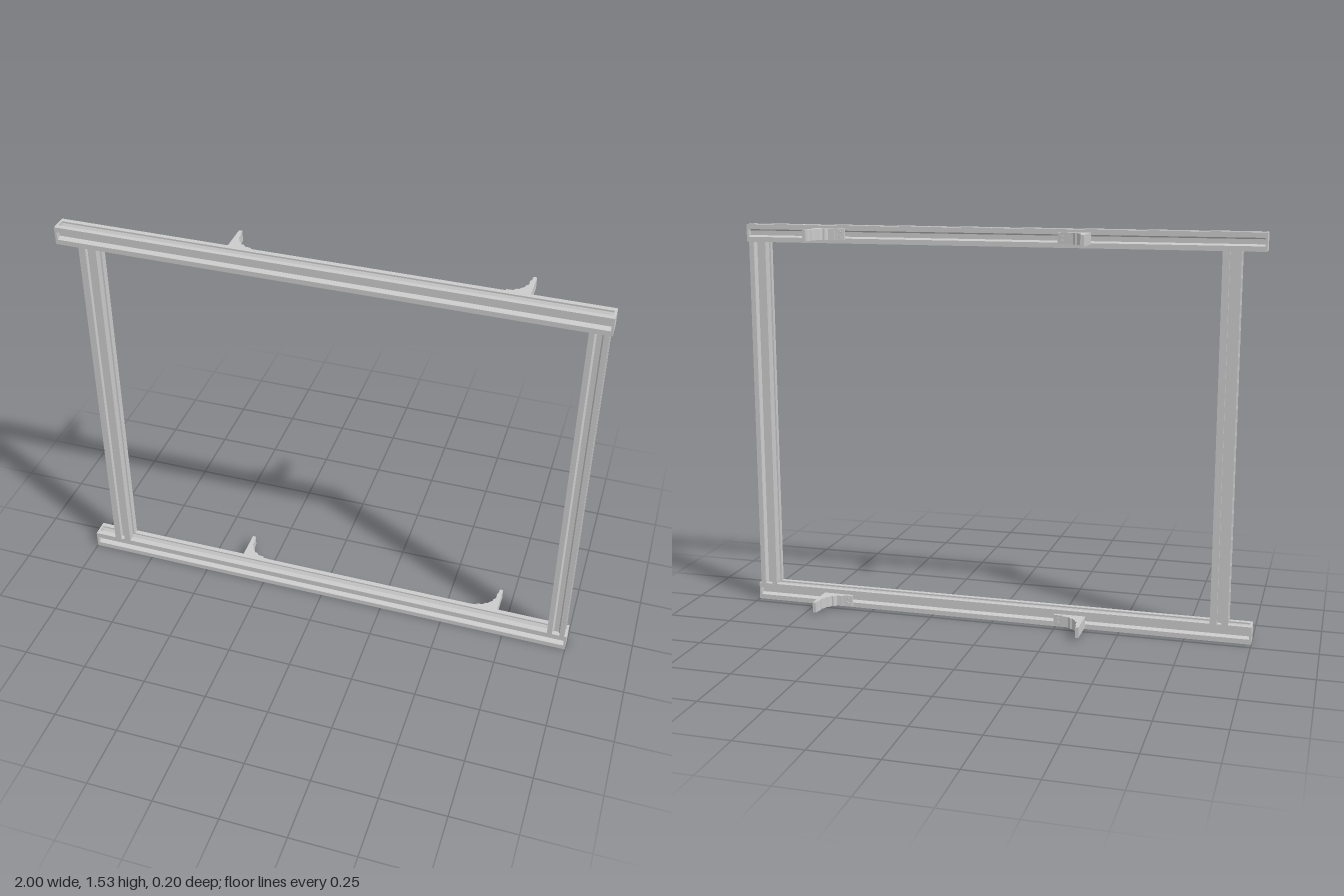
import * as THREE from 'three';

const S = 0.068;            // width of the slotted bar
const ZC = 0.066;           // depth of the frame's centre plane
const TOP = 1.53;
const grey = new THREE.MeshStandardMaterial({ color: 0xcccccc, flatShading: true });

// Square bar section with a T-slot in each of its four sides
function slotSection(mouth, cavity) {
  const h = S / 2, lip = h - 0.006, floor = h - 0.02;
  const side = [
    [-h, h], [-mouth, h], [-mouth, lip], [-cavity, lip], [-0.009, floor],
    [0.009, floor], [cavity, lip], [mouth, lip], [mouth, h],
  ];
  const pts = [];
  for (let k = 0; k < 4; k++) {
    const a = -k * Math.PI / 2, c = Math.cos(a), s = Math.sin(a);
    for (const [x, y] of side) pts.push(new THREE.Vector2(x * c - y * s, x * s + y * c));
  }
  return new THREE.Shape(pts);
}

function bar(section, length) {
  const g = new THREE.ExtrudeGeometry(section, { depth: length, bevelEnabled: false });
  g.translate(0, 0, -length / 2);
  return g;
}

function add(parent, name, geometry, x, y, z) {
  const m = new THREE.Mesh(geometry, grey);
  m.name = name;
  m.position.set(x, y, z);
  parent.add(m);
  return m;
}

// L-shaped bracket with a stepped gusset; foot runs towards dir along x
function bracket(name, x, y, dir) {
  const group = new THREE.Group();
  group.name = name;
  const profile = [
    [0, 0], [0.122, 0], [0.122, 0.012], [0.085, 0.016], [0.085, 0.022], [0.062, 0.024],
    [0.052, 0.036], [0.044, 0.036], [0.036, 0.048], [0.028, 0.054], [0.026, 0.066],
    [0.018, 0.074], [0.018, 0.1], [0.014, 0.106], [0.013, 0.128], [0, 0.128],
  ].map(([px, pz]) => new THREE.Vector2(px * dir, pz));
  const g = new THREE.ExtrudeGeometry(new THREE.Shape(profile), { depth: 0.042, bevelEnabled: false });
  g.rotateX(-Math.PI / 2);
  add(group, 'bracketBody', g, 0, -0.021, 0);
  // Screw heads on the foot
  for (const dy of [-0.009, 0.009]) {
    const head = new THREE.CylinderGeometry(0.005, 0.005, 0.004, 12);
    head.rotateX(Math.PI / 2);
    add(group, 'screwHead', head, 0.104 * dir, dy, -0.015);
  }
  group.position.set(x, y, 0.029);
  return group;
}

export function createModel() {
  const model = new THREE.Group();
  model.name = 'slottedFrame';
  const wide = slotSection(0.015, 0.018);
  const narrow = slotSection(0.008, 0.016);

  // Horizontal rails with plain end caps
  for (const [name, y] of [['bottomRail', S / 2], ['topRail', TOP - S / 2]]) {
    const g = bar(wide, 1.984);
    g.rotateY(Math.PI / 2);
    add(model, name, g, 0, y, ZC);
    for (const side of [-1, 1]) {
      add(model, 'endCap', new THREE.BoxGeometry(0.008, S, S), side * 0.996, y, ZC);
    }
  }

  // Upright posts between the rails
  const postLength = TOP - 2 * S;
  for (const [name, x, section] of [['rightPost', -0.878, narrow], ['leftPost', 0.957, wide]]) {
    const g = bar(section, postLength);
    g.rotateX(Math.PI / 2);
    add(model, name, g, x, TOP / 2, ZC);
  }

  // Mounting brackets behind both rails
  for (const y of [0.031, 1.498]) {
    model.add(bracket('rightBracket', -0.368, y, 1));
    model.add(bracket('leftBracket', 0.71, y, -1));
  }
  return model;
}
